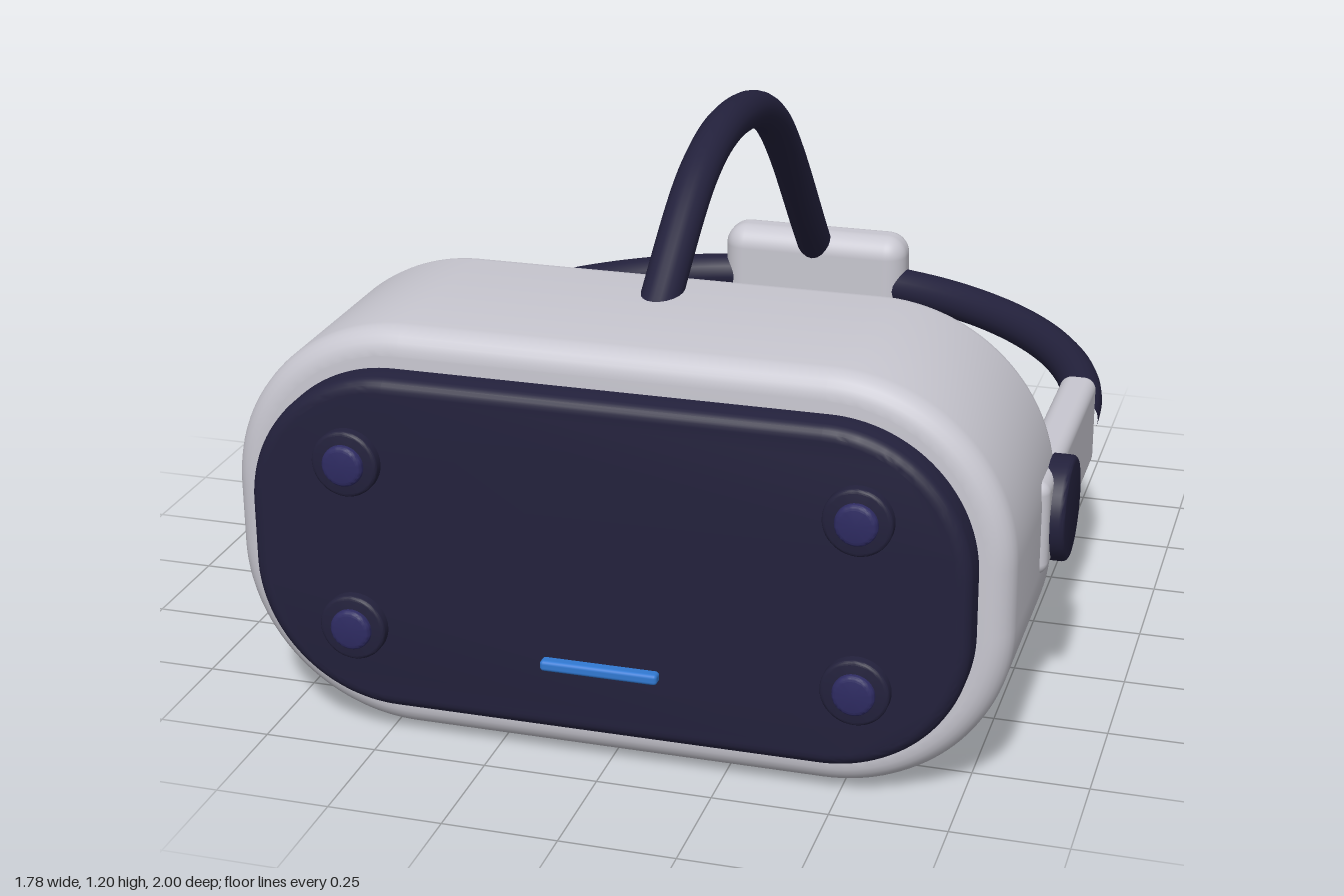
import * as THREE from 'three';
import { toCreasedNormals } from 'three/addons/utils/BufferGeometryUtils.js';
import { RoundedBoxGeometry } from 'three/addons/geometries/RoundedBoxGeometry.js';

function material(name, color) {
  const m = new THREE.MeshStandardMaterial({ color });
  m.name = name;
  return m;
}

// Rounded rectangle slab with softened rims, spanning z0..z1
function slab(w, h, r, z0, z1, bevel) {
  const x = w / 2 - bevel, y = h / 2 - bevel, c = r - bevel;
  const s = new THREE.Shape();
  s.moveTo(-x + c, -y);
  s.lineTo(x - c, -y);
  s.absarc(x - c, -y + c, c, -Math.PI / 2, 0);
  s.lineTo(x, y - c);
  s.absarc(x - c, y - c, c, 0, Math.PI / 2);
  s.lineTo(-x + c, y);
  s.absarc(-x + c, y - c, c, Math.PI / 2, Math.PI);
  s.lineTo(-x, -y + c);
  s.absarc(-x + c, -y + c, c, Math.PI, Math.PI * 1.5);
  const g = new THREE.ExtrudeGeometry(s, {
    depth: z1 - z0 - 2 * bevel, bevelEnabled: true, bevelSize: bevel,
    bevelThickness: bevel, bevelSegments: 6, curveSegments: 16,
  });
  g.translate(0, 0, z0 + bevel);
  return toCreasedNormals(g, 0.5);
}

// Disc along +z from 0 to depth, with a softened front rim
function button(r, depth, rim) {
  const pts = [new THREE.Vector2(0, 0), new THREE.Vector2(r, 0)];
  for (let i = 0; i <= 4; i++) {
    const a = (i / 4) * Math.PI / 2;
    pts.push(new THREE.Vector2(r - rim + rim * Math.cos(a), depth - rim + rim * Math.sin(a)));
  }
  pts.push(new THREE.Vector2(0, depth));
  const g = new THREE.LatheGeometry(pts, 40);
  g.rotateX(Math.PI / 2);
  return toCreasedNormals(g.toNonIndexed(), 0.5);
}

export function createModel() {
  const group = new THREE.Group();
  const shell = material('light grey shell', 0xc8c7d0);
  const dark = material('dark navy', 0x23213c);
  const glass = material('indigo lens', 0x2e2b62);
  const blue = material('blue light', 0x3179d2);

  const add = (name, geometry, mat, x = 0, y = 0, z = 0) => {
    const mesh = new THREE.Mesh(geometry, mat);
    mesh.name = name;
    mesh.position.set(x, y, z);
    group.add(mesh);
    return mesh;
  };

  // Headset body
  add('bodyShell', slab(1.69, 0.92, 0.39, 0.36, 0.89, 0.055), shell, 0, 0.465);
  add('frontPlate', slab(1.55, 0.755, 0.31, 0.8, 0.96, 0.03), dark, 0, 0.465);
  add('faceCushion', slab(1.5, 0.77, 0.3, 0.21, 0.5, 0.04), dark, 0, 0.465);

  // Four tracking cameras
  for (const x of [-0.545, 0.545]) {
    for (const y of [0.28, 0.655]) {
      add('cameraRing', button(0.073, 0.035, 0.008), dark, x, y, 0.95);
      add('cameraLens', button(0.045, 0.04, 0.01), glass, x, y, 0.96);
    }
  }

  // Status light
  add('statusLight', new RoundedBoxGeometry(0.255, 0.024, 0.03, 3, 0.008), blue, 0, 0.248, 0.968);

  // Side arms and hinge discs
  for (const side of [-1, 1]) {
    add('sideArm', new RoundedBoxGeometry(0.082, 0.215, 0.665, 4, 0.028), shell, side * 0.818, 0.492, 0.235);
    const hinge = add('hingeDisc', button(0.115, 0.05, 0.012), dark, side * 0.84, 0.492, 0.425);
    hinge.rotation.y = side * Math.PI / 2;
  }

  // Rear strap: half ring between the arms
  const ring = new THREE.TorusGeometry(0.818, 0.048, 20, 80, Math.PI);
  ring.rotateX(-Math.PI / 2);
  add('rearStrap', ring, dark, 0, 0.494, -0.085);

  // Top strap
  const path = new THREE.CatmullRomCurve3([
    [0.85, 0.6], [1.11, 0.22], [1.155, -0.06], [1.07, -0.38], [0.58, -0.87],
  ].map(([y, z]) => new THREE.Vector3(0, y, z)));
  add('topStrap', new THREE.TubeGeometry(path, 64, 0.045, 20), dark);

  // Rear pod and its adjustment knob
  add('rearPod', new RoundedBoxGeometry(0.485, 0.25, 0.13, 6, 0.055), shell, 0, 0.508, -0.883);
  const knob = add('adjustmentKnob', button(0.092, 0.07, 0.015), dark, 0, 0.506, -0.93);
  knob.rotation.y = Math.PI;

  return group;
}
